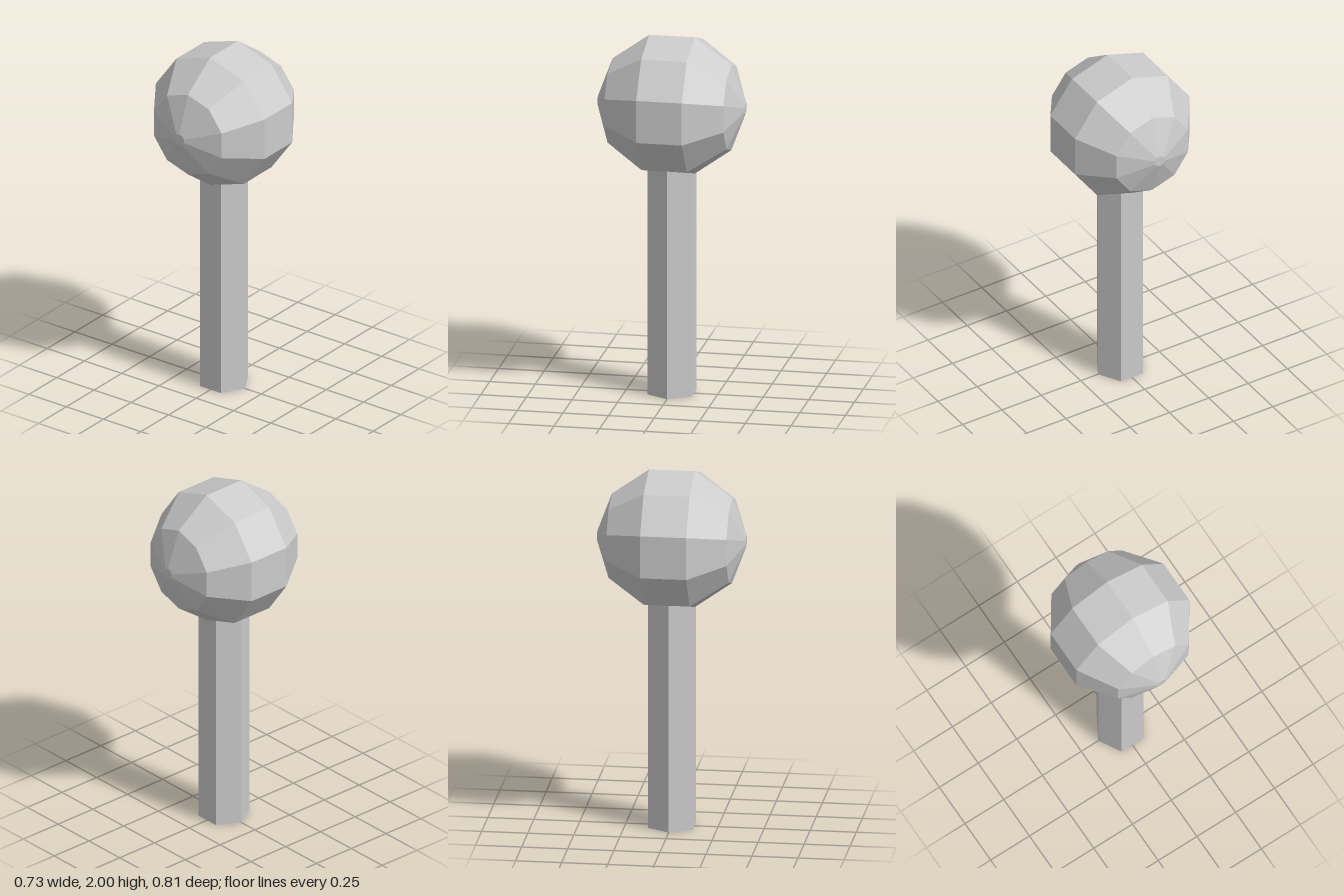
import * as THREE from 'three';

export function createModel() {
  const group = new THREE.Group();
  const material = new THREE.MeshStandardMaterial({ color: 0xcccccc, flatShading: true });

  const add = (name, geometry, y) => {
    const mesh = new THREE.Mesh(geometry, material);
    mesh.name = name;
    mesh.position.y = y;
    group.add(mesh);
  };

  // Hexagonal handle, flat faces to front and back, its top sunk into the ball
  const handleHeight = 1.32;
  add('handle', new THREE.CylinderGeometry(0.14, 0.14, handleHeight, 6, 1, false, Math.PI / 6), handleHeight / 2);

  // Ten-sided faceted ball, its poles on the front-back axis with tiny flat caps
  const half = [[0, 0.403], [0.032, 0.403], [0.239, 0.326], [0.383, 0.125]];
  const profile = [
    ...half.map(([r, d]) => new THREE.Vector2(r, -d)),
    ...half.reverse().map(([r, d]) => new THREE.Vector2(r, d)),
  ];
  add('ballHead', new THREE.LatheGeometry(profile, 10).rotateX(-Math.PI / 2), 1.617);

  return group;
}
